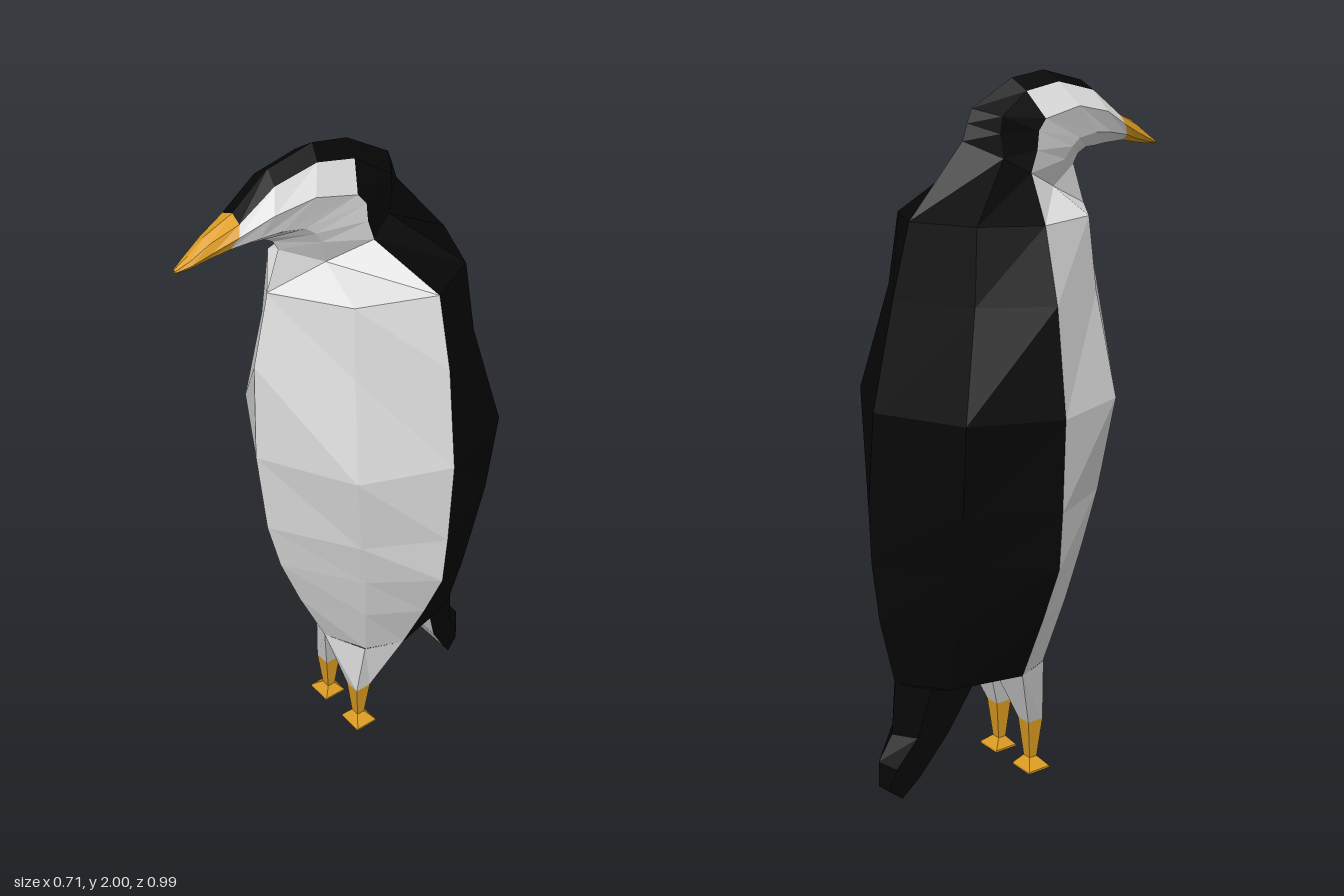
import * as THREE from 'three';

const mat = (name, color) => {
  const m = new THREE.MeshStandardMaterial({ color });
  m.name = name;
  m.flatShading = true;
  return m;
};
const V = (x, y, z) => new THREE.Vector3(x, y, z);
const flip = p => V(-p.x, p.y, p.z);

// Skins a stack of equal rings (counter-clockwise seen from the end) and
// splits the result into one flat-shaded mesh per material.
function loft(name, rings, matAt, capStart, capEnd) {
  const buckets = new Map();
  const tri = (m, ...pts) => {
    if (!buckets.has(m)) buckets.set(m, []);
    pts.forEach(p => buckets.get(m).push(p.x, p.y, p.z));
  };
  const n = rings[0].length;
  for (let i = 0; i + 1 < rings.length; i++) {
    for (let j = 0; j < n; j++) {
      const k = (j + 1) % n, m = matAt(i, j);
      const a = rings[i][j], b = rings[i][k], c = rings[i + 1][k], d = rings[i + 1][j];
      if (j < n / 2) { tri(m, a, b, d); tri(m, b, c, d); }
      else { tri(m, a, b, c); tri(m, a, c, d); }
    }
  }
  const last = rings[rings.length - 1];
  for (let j = 1; j + 1 < n; j++) {
    if (capStart) tri(capStart, rings[0][0], rings[0][j + 1], rings[0][j]);
    if (capEnd) tri(capEnd, last[0], last[j], last[j + 1]);
  }
  const group = new THREE.Group();
  group.name = name;
  for (const [m, pos] of buckets) {
    const g = new THREE.BufferGeometry();
    g.setAttribute('position', new THREE.Float32BufferAttribute(pos, 3));
    g.computeVertexNormals();
    const mesh = new THREE.Mesh(g, m);
    mesh.name = `${name} ${m.name}`;
    group.add(mesh);
  }
  return group;
}

// Symmetric eight-point ring from its front, side and back points; w sets how
// far the diagonal corners bulge, crown the width of the back corners
function ring([fz, fy, bz, by, sx, sz, sy], w = 0.73, crown = w) {
  const front = V(0, fy, fz), back = V(0, by, bz), side = V(sx, sy, sz);
  const fd = side.clone().lerp(front, 0.87 * w).setX(sx * w);
  const bd = side.clone().lerp(back, 0.93 * w).setX(sx * crown);
  return [front, fd, side, bd, back, flip(bd), flip(side), flip(fd)];
}

export function createModel() {
  const white = mat('white feathers', 0xdcdcdc);
  const black = mat('black feathers', 0x060606);
  const orange = mat('orange horn', 0xdc9c22);
  const model = new THREE.Group();
  model.name = 'bird';
  const isBack = j => j >= 2 && j <= 5;
  const isCrown = j => j === 3 || j === 4;

  // Torso: height, front z, back z, half width, corner bulge
  const torso = [
    [0.35, 0.06, -0.425, 0.17, 0.73],
    [0.55, 0.15, -0.47, 0.262, 0.66],
    [0.72, 0.215, -0.49, 0.333, 0.63],
    [0.88, 0.255, -0.495, 0.345, 0.67],
    [1.14, 0.283, -0.472, 0.355, 0.73],
    [1.43, 0.277, -0.405, 0.317, 0.65],
    [1.63, 0.23, -0.35, 0.265, 0.7],
  ].map(([y, f, b, x, w]) => ring([f, y, b, y, x, -0.11, y], w));
  model.add(loft('torso', torso, (i, j) => isBack(j) ? black : white));

  // Neck and head bend forward: front z,y; back z,y; side x,z,y; bulge, crown
  const head = [
    [[0.23, 1.635, -0.18, 1.825, 0.1, -0.03, 1.742], 0.5, 0.73],
    [[0.192, 1.745, -0.165, 1.87, 0.1, -0.01, 1.8], 0.68],
    [[0.207, 1.772, -0.15, 1.908, 0.1, -0.005, 1.85], 0.73],
    [[0.235, 1.788, -0.02, 1.982, 0.097, 0.02, 1.88], 0.73, 0.5],
    [[0.265, 1.79, 0.085, 2.0, 0.09, 0.14, 1.908], 0.73, 0.5],
    [[0.3, 1.795, 0.215, 1.97, 0.075, 0.25, 1.888], 0.73, 0.56],
    [[0.365, 1.8, 0.32, 1.887, 0.05, 0.335, 1.848], 0.73],
  ].map(r => ring(...r));
  model.add(loft('head', [torso[torso.length - 1], ...head],
    (i, j) => (i < 4 ? isBack(j) : isCrown(j)) ? black : white));

  // Beak
  const beak = [
    [0.405, 1.793, 0.4, 1.853, 0.031, 0.4, 1.82],
    [0.455, 1.786, 0.45, 1.817, 0.021, 0.452, 1.8],
    [0.488, 1.784, 0.49, 1.793, 0.007, 0.487, 1.788],
  ].map(r => ring(r));
  model.add(loft('beak', [head[head.length - 1], ...beak], () => orange, null, orange));

  // Tail with a flat underside, from the tip up to the closed torso base:
  // under z,y; back z,y; half width
  const tail = [
    [-0.43, 0.01, -0.487, 0.055, 0.032],
    [-0.385, 0.075, -0.485, 0.13, 0.057],
    [-0.31, 0.2, -0.44, 0.2, 0.088],
    [-0.25, 0.352, -0.425, 0.352, 0.13],
    [-0.11, 0.348, -0.425, 0.352, 0.17],
  ].map(([uz, uy, bz, by, x]) => {
    const under = V(0, uy, uz), mid = V(0.55 * x, uy, uz), side = V(x, uy, uz), back = V(0, by, bz);
    const bd = side.clone().lerp(back, 0.66).setX(0.73 * x);
    return [under, mid, side, bd, back, flip(bd), flip(side), flip(mid)];
  });
  model.add(loft('tail', tail,
    (i, j) => isBack(j) || (i === 3 && (j === 1 || j === 6)) ? black : white, white));

  // Legs: flat foot, orange shank, feathered thigh
  const box = (y, x0, x1, z) => [
    V(x0, y, z - 0.012), V(x1, y, z - 0.012), V(x1, y, -z - 0.012), V(x0, y, -z - 0.012)];
  const leg = [
    box(0, 0.042, 0.123, 0.037),
    box(0.006, 0.042, 0.123, 0.036),
    box(0.033, 0.063, 0.092, 0.013),
    box(0.155, 0.053, 0.103, 0.026),
    [V(0, 0.35, 0.06), V(0.124, 0.35, 0), V(0.17, 0.35, -0.11), V(0, 0.35, -0.11)],
  ];
  for (const s of [1, -1]) {
    const rings = leg.map(r => s > 0 ? r : r.map(flip).reverse());
    model.add(loft(s > 0 ? 'leftLeg' : 'rightLeg', rings, i => i < 3 ? orange : white, orange));
  }
  return model;
}
